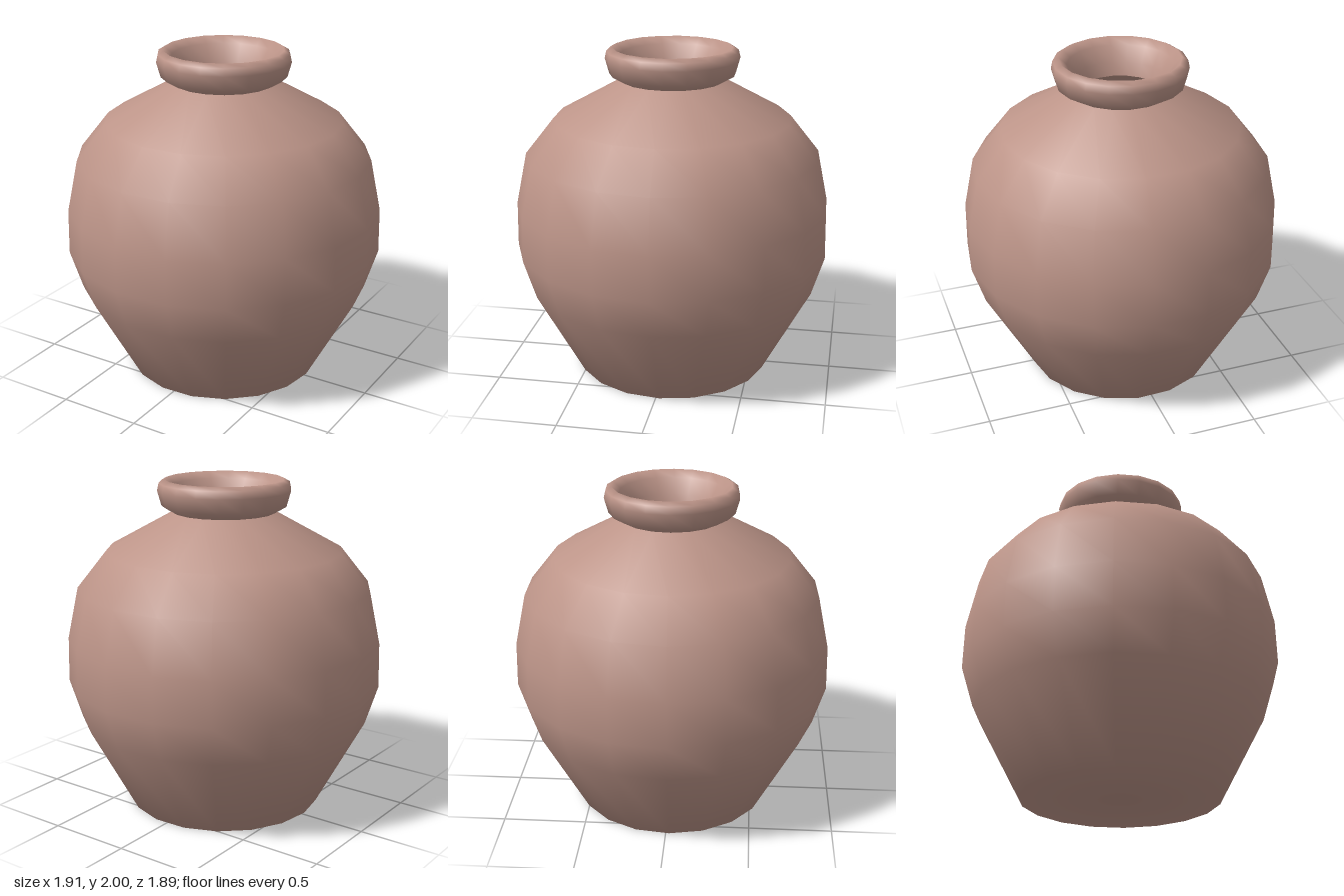
import * as THREE from 'three';

const SIDES = 18;
const START = THREE.MathUtils.degToRad(12);

const clay = new THREE.MeshStandardMaterial({ color: 0xbc9488, side: THREE.DoubleSide });

// Turns a profile of [radius, height] pairs around the y axis.
function turned(name, profile) {
  const points = profile.map(([r, y]) => new THREE.Vector2(r, y));
  const mesh = new THREE.Mesh(new THREE.LatheGeometry(points, SIDES, START), clay);
  mesh.name = name;
  return mesh;
}

export function createModel() {
  const group = new THREE.Group();
  group.name = 'jar';

  // Closed base, tapered foot, round belly and sloping shoulder
  group.add(turned('body', [
    [0, 0], [0.59, 0], [0.88, 0.54], [0.955, 0.78], [0.95, 1.05],
    [0.885, 1.36], [0.71, 1.58], [0.305, 1.805],
  ]));

  // Rolled lip that folds over into the narrow throat
  group.add(turned('rim', [
    [0.305, 1.805], [0.375, 1.846], [0.4, 1.935], [0.39, 1.98],
    [0.355, 2], [0.31, 1.96], [0.26, 1.87], [0.24, 1.79],
  ]));

  // Hollow inside, from the throat down to the floor
  group.add(turned('innerWall', [
    [0.24, 1.79], [0.65, 1.53], [0.82, 1.33], [0.885, 1.05],
    [0.89, 0.79], [0.815, 0.56], [0.54, 0.06], [0, 0.06],
  ]));

  return group;
}
